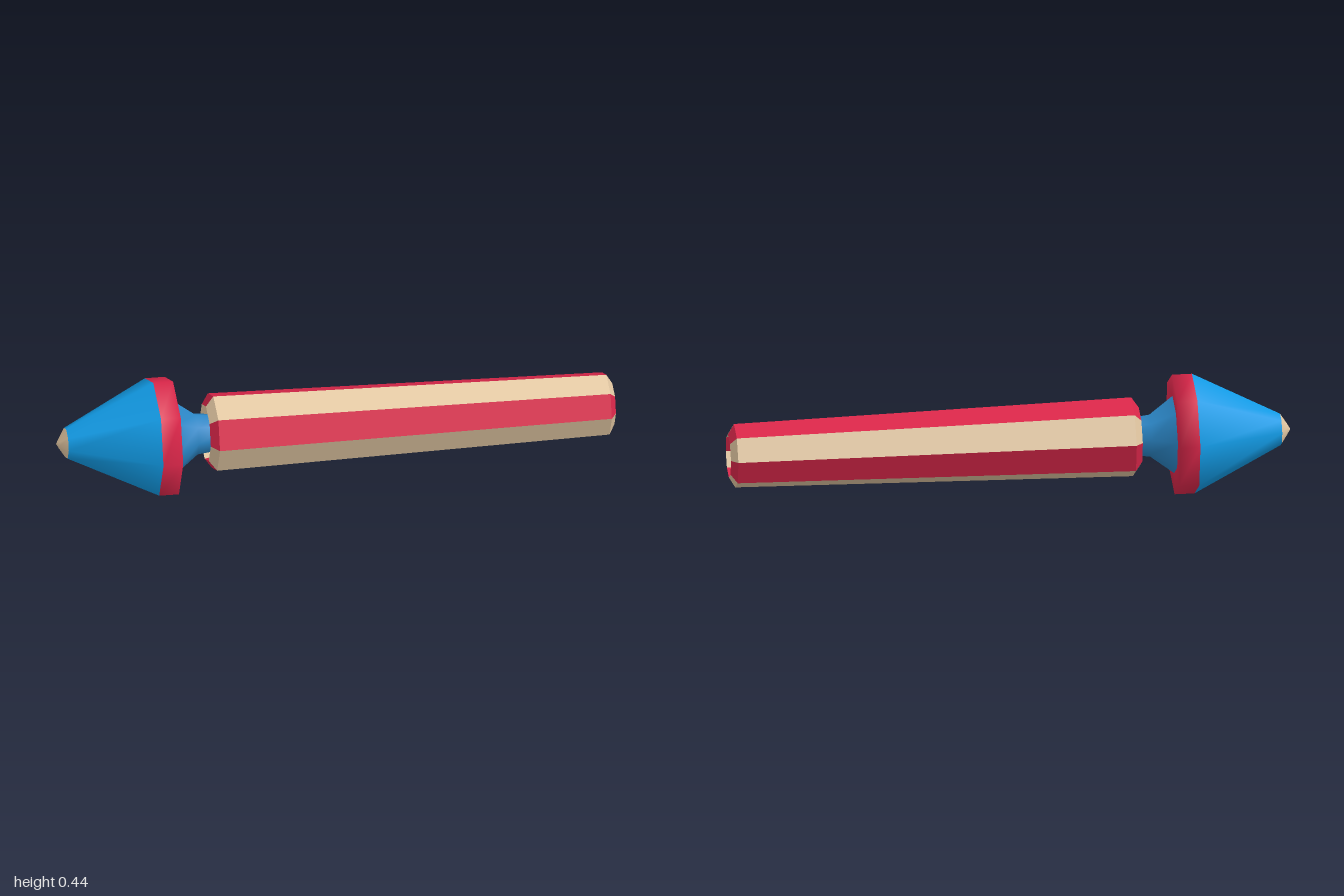
import * as THREE from 'three';

const SIDES = 8;
const mat = (name, color) => {
  const m = new THREE.MeshStandardMaterial({ color });
  m.name = name;
  return m;
};

// Smooth eight-sided turning along x from [x, radius] pairs
function turned(name, profile, material) {
  const geo = new THREE.LatheGeometry(profile.map(([x, r]) => new THREE.Vector2(r, x)), SIDES);
  geo.rotateZ(-Math.PI / 2);
  const mesh = new THREE.Mesh(geo, material);
  mesh.name = name;
  return mesh;
}

// Flat facets along x; keeps only the facets accepted by pick(side, segment)
function facets(name, profile, material, pick) {
  const pos = [];
  const point = ([x, r], k) => {
    const a = (k * Math.PI * 2) / SIDES;
    return [x, r * Math.cos(a), r * Math.sin(a)];
  };
  for (let i = 0; i < profile.length - 1; i++) {
    for (let k = 0; k < SIDES; k++) {
      if (!pick(k, i)) continue;
      const [p, q] = [profile[i], profile[i + 1]];
      const a = point(p, k), b = point(q, k), c = point(q, k + 1), d = point(p, k + 1);
      if (q[1] > 0) pos.push(...a, ...c, ...b);
      if (p[1] > 0) pos.push(...a, ...d, ...c);
    }
  }
  const geo = new THREE.BufferGeometry();
  geo.setAttribute('position', new THREE.Float32BufferAttribute(pos, 3));
  geo.computeVertexNormals();
  const mesh = new THREE.Mesh(geo, material);
  mesh.name = name;
  return mesh;
}

export function createModel() {
  const blue = mat('bright blue', 0x119be6);
  const neckBlue = mat('muted blue', 0x2b86c6);
  const red = mat('red', 0xd92649);
  const cream = mat('cream', 0xe2c7a2);

  const model = new THREE.Group();
  model.name = 'fireworkRocket';

  // Nose, cone, collar and neck
  model.add(
    turned('noseTip', [[-1, 0], [-0.99, 0.018], [-0.965, 0.057]], cream),
    turned('noseCone', [[-0.965, 0.057], [-0.655, 0.217]], blue),
    turned('collar', [[-0.655, 0.217], [-0.584, 0.217], [-0.584, 0.138]], red),
    turned('neck', [[-0.584, 0.14], [-0.5, 0.076], [-0.4, 0.064]], neckBlue)
  );

  // Striped tube with bevelled rims, hollowed at both ends
  const tube = [
    [-0.41, 0], [-0.41, 0.095], [-0.463, 0.105], [-0.437, 0.143],
    [0.976, 0.115], [0.998, 0.078], [0.72, 0.076], [0.72, 0]
  ];
  const isFloor = (i) => i === 0 || i === tube.length - 2;
  const body = new THREE.Group();
  body.name = 'tube';
  body.position.z = -0.004;
  body.add(
    facets('creamStripes', tube, cream, (k, i) => isFloor(i) || k % 2 === 0),
    facets('redStripes', tube, red, (k, i) => !isFloor(i) && k % 2 === 1)
  );
  model.add(body);

  // Resting tilt: the thin tail end dips slightly
  model.rotation.z = -0.021;
  model.position.y = 0.204;

  const root = new THREE.Group();
  root.name = 'model';
  root.add(model);
  return root;
}
